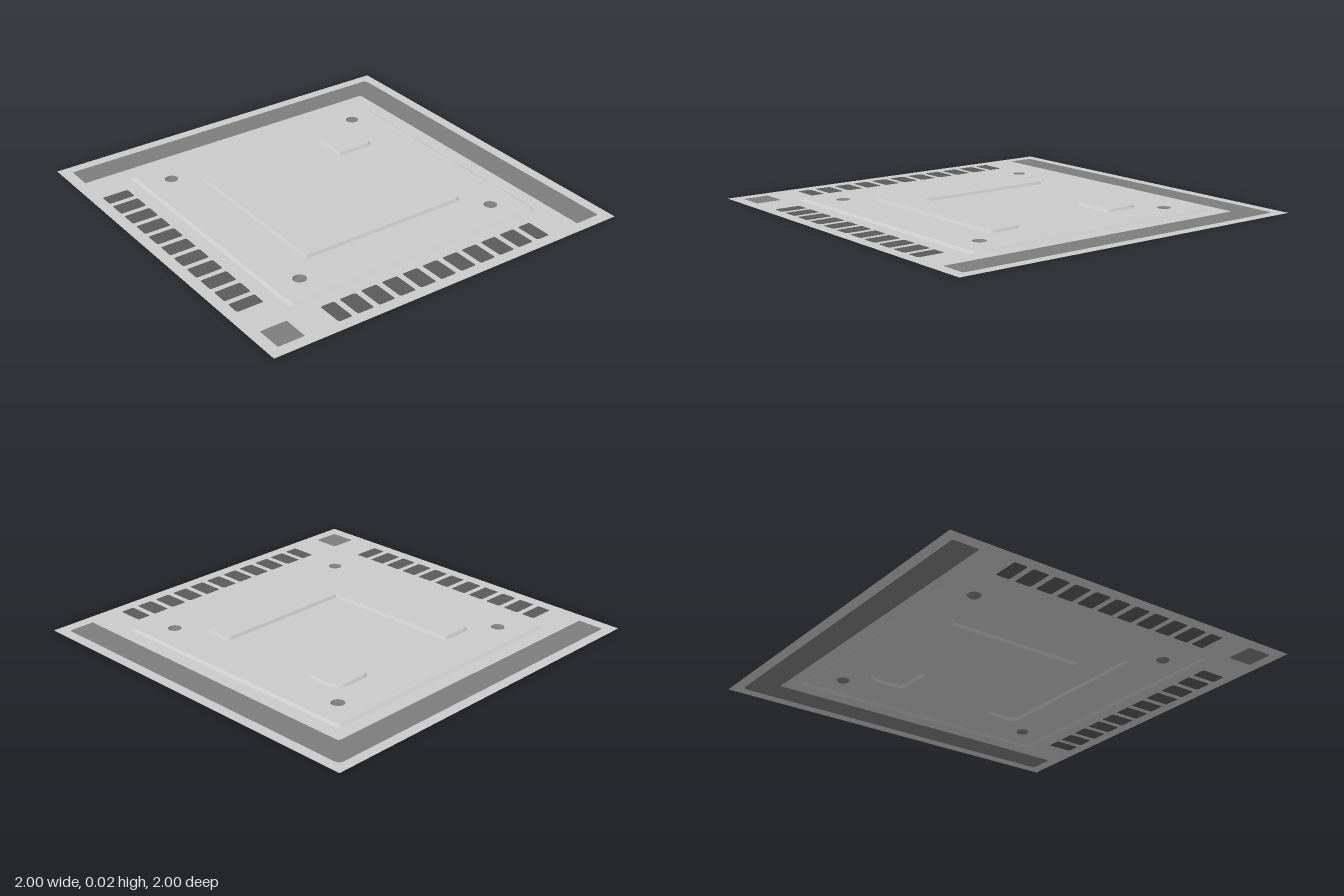
import * as THREE from 'three';

const flat = (name, color) => {
  const m = new THREE.MeshStandardMaterial({ color, side: THREE.DoubleSide });
  m.name = name;
  return m;
};

// Outline from [x, z, radius] corners, counter-clockwise seen from above; stored as (x, -z)
function outline(corners, steps = 4) {
  const pts = [];
  const n = corners.length;
  const v = corners.map(([x, z]) => new THREE.Vector2(x, -z));
  for (let i = 0; i < n; i++) {
    const c = v[i], r = corners[i][2] || 0;
    if (!r) { pts.push(c.clone()); continue; }
    const a = v[(i + n - 1) % n].clone().sub(c).setLength(r).add(c);
    const b = v[(i + 1) % n].clone().sub(c).setLength(r).add(c);
    pts.push(...new THREE.QuadraticBezierCurve(a, c, b).getPoints(steps));
  }
  return pts;
}

const rect = (x0, z0, x1, z1, r = 0) =>
  outline([[x0, z1, r], [x1, z1, r], [x1, z0, r], [x0, z0, r]]);

function circle(x, z, r, n = 16) {
  return Array.from({ length: n }, (_, i) => {
    const a = (i / n) * Math.PI * 2;
    return new THREE.Vector2(x + r * Math.cos(a), -z + r * Math.sin(a));
  });
}

// Moves an outline inward by d with mitred corners
function inset(pts, d) {
  const n = pts.length;
  const normal = (a, b) => {
    const e = b.clone().sub(a).normalize();
    return new THREE.Vector2(-e.y, e.x);
  };
  return pts.map((p, i) => {
    const n1 = normal(pts[(i + n - 1) % n], p);
    const n2 = normal(p, pts[(i + 1) % n]);
    return n1.clone().add(n2).multiplyScalar(d / (1 + n1.dot(n2))).add(p);
  });
}

// Flat face at height y, with openings
function face(pts, y, holes = []) {
  const shape = new THREE.Shape(pts);
  shape.holes = holes.map((h) => new THREE.Path(h));
  return new THREE.ShapeGeometry(shape).rotateX(-Math.PI / 2).translate(0, y, 0);
}

// Sloping wall between an outer loop at y0 and an inner loop at y1
function wall(outer, y0, inner, y1) {
  const pos = [];
  const n = outer.length;
  const put = (p, y) => pos.push(p.x, y, -p.y);
  for (let i = 0; i < n; i++) {
    const j = (i + 1) % n;
    put(outer[i], y0); put(outer[j], y0); put(inner[j], y1);
    put(outer[i], y0); put(inner[j], y1); put(inner[i], y1);
  }
  const g = new THREE.BufferGeometry();
  g.setAttribute('position', new THREE.Float32BufferAttribute(pos, 3));
  g.computeVertexNormals();
  return g;
}

export function createModel() {
  const model = new THREE.Group();
  model.name = 'embossedSheet';
  const light = flat('light grey', 0xcacaca);
  const mid = flat('mid grey', 0x7c7c7c);
  const dark = flat('dark grey', 0x5a5a5a);
  const add = (name, geometry, material) => {
    const mesh = new THREE.Mesh(geometry, material);
    mesh.name = name;
    model.add(mesh);
  };

  const PANEL = 0.011, TOP = 0.024;

  // Corner band along the back and right edges, and the square at the opposite corner
  const band = outline([
    [-0.945, 0.94, 0.012], [-0.805, 0.94], [-0.805, -0.805, 0.012],
    [0.94, -0.805], [0.94, -0.945, 0.012], [-0.945, -0.945, 0.03],
  ]);
  const square = rect(0.8, 0.8, 0.94, 0.94, 0.008);
  add('cornerBand', face(band, 0), mid);
  add('cornerSquare', face(square, 0), mid);

  // Two rows of pads; the end pads are cut a little short
  const pads = [];
  for (let i = -5; i <= 5; i++) {
    const a = Math.max(i * 0.118 - 0.044, -0.62);
    const b = Math.min(i * 0.118 + 0.044, 0.62);
    pads.push(rect(a, 0.8, b, 0.94, 0.01), rect(0.8, a, 0.94, b, 0.01));
  }
  pads.forEach((p) => add('pad', face(p, 0), dark));

  // Base sheet around the raised panel
  const panelBase = rect(-0.73, -0.73, 0.73, 0.73, 0.03);
  const panelTop = inset(panelBase, 0.016);
  add('baseSheet', face(rect(-1, -1, 1, 1), 0, [panelBase, band, square, ...pads]), light);
  add('panelWall', wall(panelBase, 0, panelTop, PANEL), light);

  // Raised angle and raised block
  const angle = outline([
    [-0.49, 0.455, 0.045], [0.455, 0.455], [0.455, -0.49, 0.045],
    [0.265, -0.49, 0.03], [0.265, 0.265], [-0.49, 0.265, 0.03],
  ]);
  const block = outline([
    [-0.49, -0.27, 0.045], [-0.27, -0.27], [-0.27, -0.49, 0.045], [-0.49, -0.49, 0.08],
  ]);
  for (const [name, base] of [['raisedAngle', angle], ['raisedBlock', block]]) {
    const top = inset(base, 0.01);
    add(name + 'Wall', wall(base, PANEL, top, TOP), light);
    add(name + 'Top', face(top, TOP), light);
  }

  // Round dimples at the panel corners
  const dimples = [];
  for (const x of [-0.572, 0.572]) {
    for (const z of [-0.572, 0.572]) {
      const rim = circle(x, z, 0.034);
      const floor = circle(x, z, 0.026);
      dimples.push(rim);
      add('dimpleWall', wall(rim, PANEL, floor, 0.003), mid);
      add('dimpleFloor', face(floor, 0.003), mid);
    }
  }
  add('panel', face(panelTop, PANEL, [angle, block, ...dimples]), light);

  return model;
}
